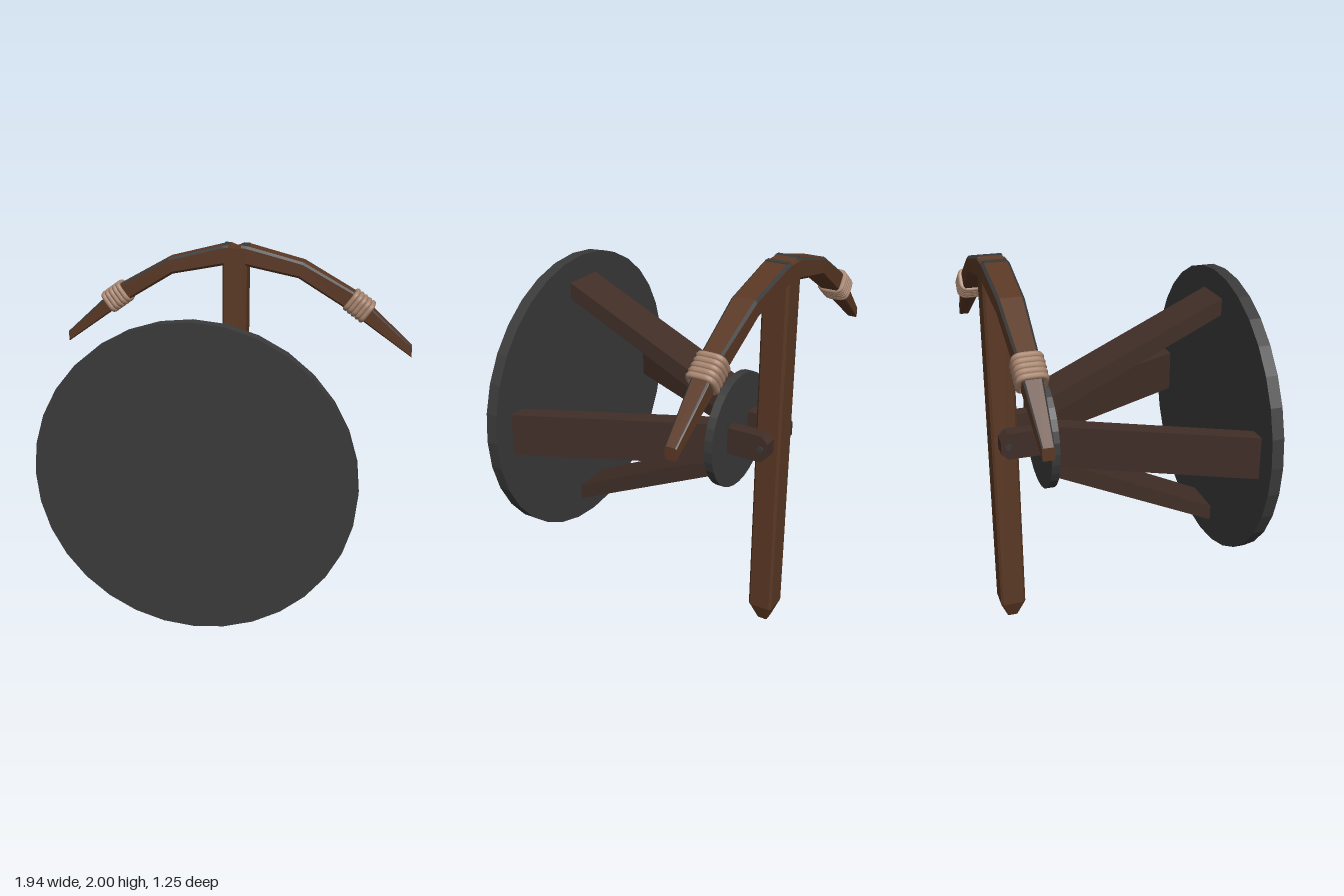
import * as THREE from 'three';

const mat = (color) => new THREE.MeshStandardMaterial({ color, flatShading: true });
const V = (x, y, z) => new THREE.Vector3(x, y, z);
const POST_Z = -0.555, HUB_Y = 1.09;

// Chamfered rectangular ring: half extents a along u and b along v, corner cut c
function ring(center, u, v, a, b, c) {
  return [[a, c - b], [a, b - c], [a - c, b], [c - a, b], [-a, b - c], [-a, c - b], [c - a, -b], [a - c, -b]]
    .map(([p, q]) => center.clone().addScaledVector(u, p).addScaledVector(v, q));
}

// Skin through rings; keep(i) chooses which sides are built
function loft(rings, keep = () => true, caps = true) {
  const pos = [];
  const tri = (...pts) => pts.forEach((p) => pos.push(p.x, p.y, p.z));
  const n = rings[0].length;
  for (let r = 0; r < rings.length - 1; r++) {
    const A = rings[r], B = rings[r + 1];
    for (let i = 0; i < n; i++) {
      if (!keep(i)) continue;
      const j = (i + 1) % n;
      tri(A[i], A[j], B[j]);
      tri(A[i], B[j], B[i]);
    }
  }
  if (caps) {
    const S = rings[0], E = rings[rings.length - 1];
    for (let i = 1; i < n - 1; i++) {
      tri(S[0], S[i + 1], S[i]);
      tri(E[0], E[i], E[i + 1]);
    }
  }
  const g = new THREE.BufferGeometry();
  g.setAttribute('position', new THREE.Float32BufferAttribute(pos, 3));
  g.computeVertexNormals();
  return g;
}

// Slab with a polygon outline in (x, y), centred in thickness
function slab(points, depth) {
  const shape = new THREE.Shape(points.map(([x, y]) => new THREE.Vector2(x, y)));
  return new THREE.ExtrudeGeometry(shape, { depth, bevelEnabled: false }).translate(0, 0, -depth / 2);
}

export function createModel() {
  const model = new THREE.Group();
  const wood = mat(0x5a3824), darkWood = mat(0x412e27), metal = mat(0x3a3a3a);
  const rope = new THREE.MeshStandardMaterial({ color: 0xa98670 });
  const add = (parent, name, geometry, material) => {
    const m = new THREE.Mesh(geometry, material);
    m.name = name;
    parent.add(m);
    return m;
  };

  // Upright post with pointed foot
  const post = [[0, 0.028, 0.006], [0.1, 0.067, 0.012], [1.985, 0.067, 0.012]].map(([y, h, c]) =>
    ring(V(0, y, POST_Z), V(0, 0, 1), V(1, 0, 0), h, h, c));
  add(model, 'post', loft(post), wood);

  // Large front disc and small rear disc
  const disc = (name, r, z0, z1) => {
    const m = add(model, name, new THREE.CylinderGeometry(r, r, z1 - z0, 32), metal);
    m.rotation.x = Math.PI / 2;
    m.position.set(0, HUB_Y, (z0 + z1) / 2);
  };
  disc('frontDisc', 0.757, 0.565, 0.625);
  disc('rearDisc', 0.3, -0.375, -0.332);

  // Four sloping struts between the discs
  const strutGeo = slab([[-0.335, 0.12], [0.57, 0.555], [0.57, 0.64], [-0.335, 0.215]], 0.22).rotateY(-Math.PI / 2);
  for (let i = 0; i < 4; i++) {
    const s = add(model, 'strut', strutGeo, darkWood);
    s.position.y = HUB_Y;
    s.rotation.z = i * Math.PI / 2;
  }

  // Lugs either side of the post, with a hinge pin
  const lugGeo = slab([[0.36, -0.07], [0.558, -0.07], [0.592, -0.035], [0.592, 0.035], [0.558, 0.07], [0.36, 0.07]], 0.07)
    .rotateY(Math.PI / 2);
  for (const side of [-1, 1]) add(model, 'lug', lugGeo, darkWood).position.set(side * 0.108, HUB_Y, 0);
  const pin = add(model, 'hingePin', new THREE.CylinderGeometry(0.016, 0.016, 0.3, 10), metal);
  pin.rotation.z = Math.PI / 2;
  pin.position.set(0, HUB_Y, POST_Z);

  // Arm stations: top x, y, bottom x, y, half depth
  const stations = [
    [0, 1.985, 0, 1.89, 0.066],
    [0.035, 2.0, 0.035, 1.893, 0.067],
    [0.065, 1.997, 0.065, 1.89, 0.067],
    [0.37, 1.92, 0.345, 1.835, 0.062],
    [0.66, 1.76, 0.61, 1.675, 0.05],
    [0.97, 1.48, 0.97, 1.422, 0.027],
  ];
  const armRings = stations.map(([tx, ty, bx, by, d]) => {
    const top = V(tx, ty, 0), bottom = V(bx, by, 0);
    const u = top.clone().sub(bottom), h = u.length() / 2;
    return ring(top.add(bottom).multiplyScalar(0.5), u.normalize(), V(0, 0, 1), h, d, d * 0.2);
  });
  const isTrim = (i) => i === 1 || i === 7;

  // Rounded rectangular rope loop, in the plane across the arm
  const loopPts = [];
  for (let i = 0; i < 24; i++) {
    const a = (i / 24) * Math.PI * 2, c = Math.cos(a), s = Math.sin(a);
    loopPts.push(V(0, 0.052 * Math.sign(c) * Math.sqrt(Math.abs(c)), 0.058 * Math.sign(s) * Math.sqrt(Math.abs(s))));
  }
  const loopGeo = new THREE.TubeGeometry(new THREE.CatmullRomCurve3(loopPts, true), 48, 0.0145, 8, true);

  // Two matching arms, each with dark edge trim and rope binding
  for (const [name, turn] of [['leftArm', 0], ['rightArm', Math.PI]]) {
    const arm = new THREE.Group();
    arm.name = name;
    arm.position.z = POST_Z;
    arm.rotation.y = turn;
    model.add(arm);
    add(arm, 'armBeam', loft(armRings, (i) => !isTrim(i)), wood);
    add(arm, 'edgeTrim', loft(armRings.slice(1), isTrim, false), metal);
    add(arm, 'topPlate', new THREE.BoxGeometry(0.034, 0.006, 0.108), metal).position.set(0.052, 1.997, 0);
    const binding = new THREE.Group();
    binding.name = 'ropeBinding';
    binding.position.set(0.675, 1.69, 0);
    binding.rotation.z = -0.62;
    arm.add(binding);
    for (let i = -2; i <= 2; i++) add(binding, 'ropeLoop', loopGeo, rope).position.x = i * 0.026;
  }
  return model;
}
